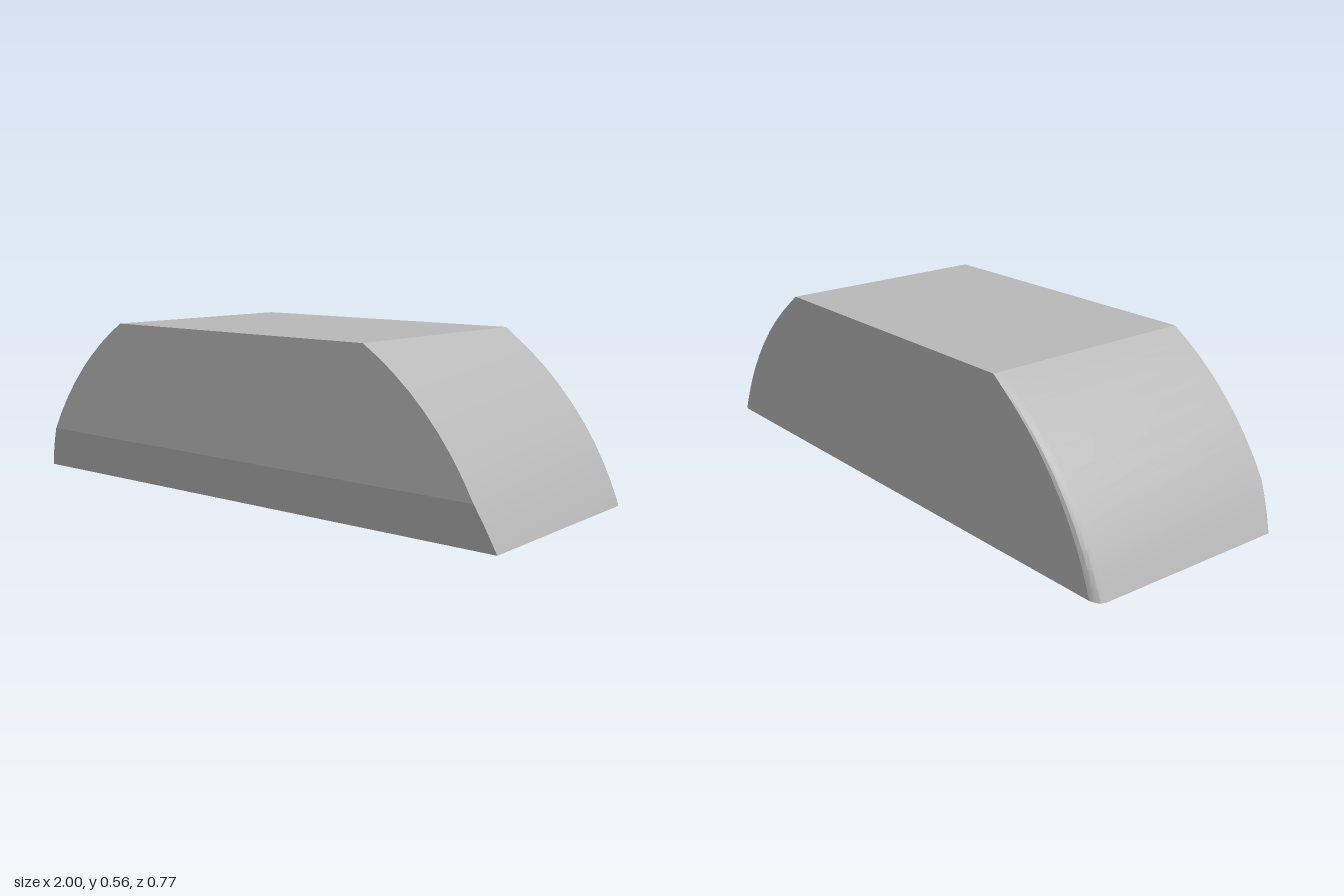
import * as THREE from 'three';
import { toCreasedNormals } from 'three/addons/utils/BufferGeometryUtils.js';

const TOP = 0.565, HALF_DEPTH = 0.385, BEVEL = 0.15;
const HEIGHTS = [0, 0.05, 0.1, BEVEL, 0.21, 0.27, 0.33, 0.39, 0.44, 0.49, 0.53, TOP];

// Half width of the arched end at height y
const halfWidth = (y) => Math.sqrt(1.1156 - (y + 0.34) ** 2);

// The front face leans back below the bevel line
const frontZ = (y) => HALF_DEPTH - 0.03 * Math.max(0, 1 - y / BEVEL);

// The underside rises slightly towards the back and the left
const undersideY = (side, z) => 0.005 * (side + 1) + 0.012 * (0.355 - z) / 0.74;

// Cross-section loop: up the left end, then down the right end
function section(zAt, inset) {
  const point = (side, y) => {
    const z = zAt(y);
    const py = y === 0 ? undersideY(side, z) : y;
    const x = halfWidth(py) - inset * Math.sqrt(1 - y / TOP);
    return [side * x, py, z];
  };
  return [
    ...HEIGHTS.map((y) => point(1, y)),
    ...[...HEIGHTS].reverse().map((y) => point(-1, y)),
  ];
}

function quadGeometry(quads, crease) {
  const positions = [];
  for (const [a, b, c, d] of quads) positions.push(...a, ...b, ...c, ...a, ...c, ...d);
  const geometry = new THREE.BufferGeometry();
  geometry.setAttribute('position', new THREE.Float32BufferAttribute(positions, 3));
  return toCreasedNormals(geometry, crease);
}

// Rows of quads closing a section from end to end
function cap(ring, back) {
  const quads = [];
  const last = ring.length - 1;
  for (let i = 0; i < HEIGHTS.length - 1; i++) {
    const quad = [ring[i], ring[i + 1], ring[last - i - 1], ring[last - i]];
    quads.push(back ? quad.reverse() : quad);
  }
  return quads;
}

export function createModel() {
  const model = new THREE.Group();
  model.name = 'archedBlock';
  const grey = new THREE.MeshStandardMaterial({ color: 0xb8b8b8 });
  grey.name = 'grey';

  const add = (name, quads, crease) => {
    const mesh = new THREE.Mesh(quadGeometry(quads, crease), grey);
    mesh.name = name;
    model.add(mesh);
  };

  // Sections from front to back, with a small rounding at the rear edge
  const rings = [
    section(frontZ, 0),
    section(() => -0.355, 0),
    section(() => -0.37, 0.006),
    section(() => -0.38, 0.018),
    section(() => -HALF_DEPTH, 0.036),
  ];

  // Top, underside and arched ends
  const shell = [];
  for (let k = 0; k < rings.length - 1; k++) {
    const a = rings[k], b = rings[k + 1];
    a.forEach((p, j) => {
      const n = (j + 1) % a.length;
      shell.push([p, b[j], b[n], a[n]]);
    });
  }
  add('shell', shell, 0.48);

  // Front face with its leaning lower band, and the flat back
  add('frontFace', cap(rings[0], false), 0.1);
  add('backFace', cap(rings[rings.length - 1], true), 0.1);

  return model;
}
